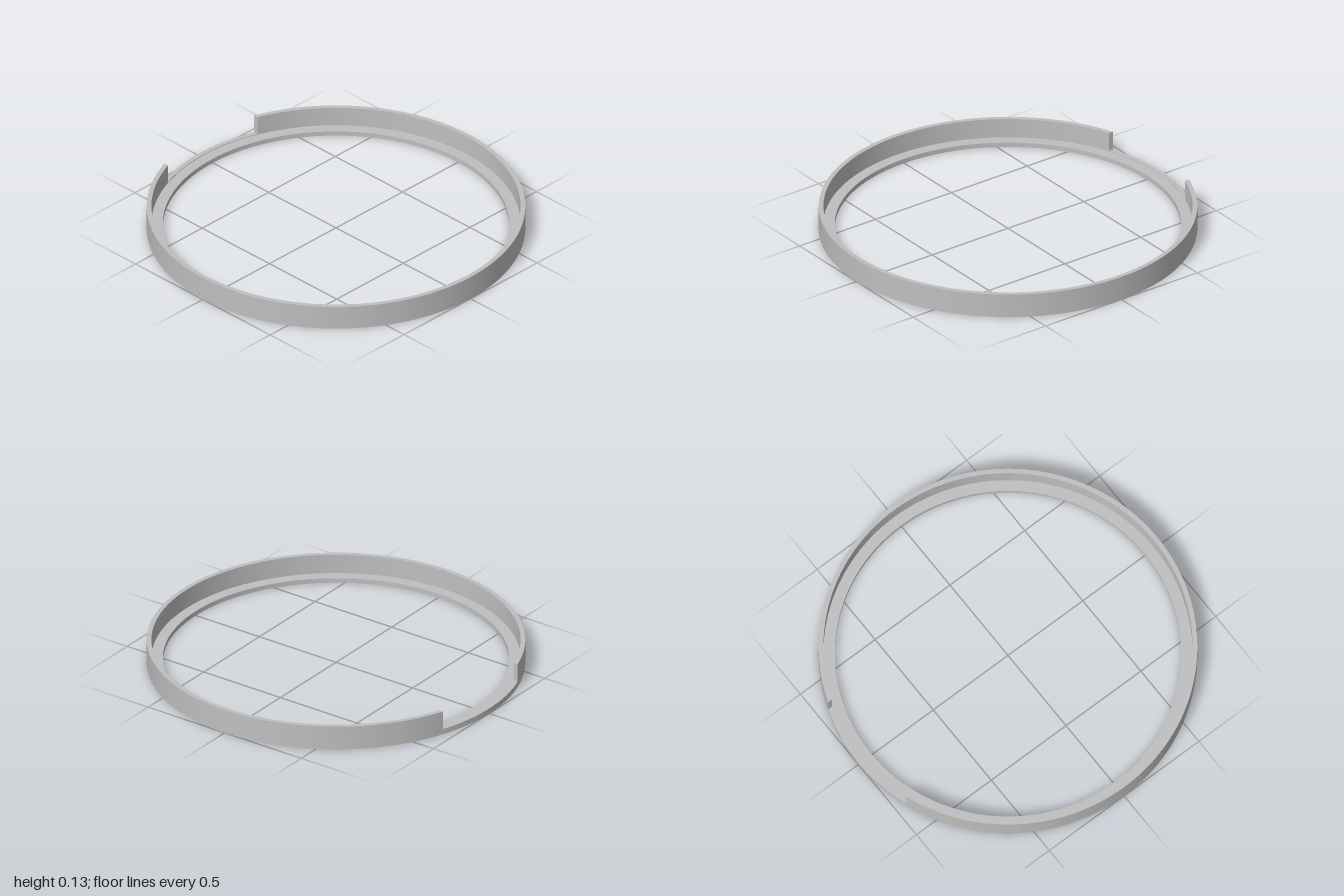
import * as THREE from 'three';
import { toCreasedNormals } from 'three/addons/utils/BufferGeometryUtils.js';

const INNER = 0.915, WALL_INNER = 0.975, OUTER = 1;
const LEDGE_Y = 0.026, GAP_Y = 0.03, TOP_Y = 0.135;
const GAP_HALF = 0.335; // half width of the opening on the -x side

// Extrude a plan shape upwards between two heights, smooth around the curve
function slab(name, shape, y0, y1, material) {
  const geo = new THREE.ExtrudeGeometry(shape, { depth: y1 - y0, bevelEnabled: false, curveSegments: 144 });
  geo.rotateX(-Math.PI / 2);
  geo.translate(0, y0, 0);
  const mesh = new THREE.Mesh(toCreasedNormals(geo, Math.PI / 6), material);
  mesh.name = name;
  return mesh;
}

function ring(inner, outer) {
  const shape = new THREE.Shape().absarc(0, 0, outer, 0, Math.PI * 2, false);
  shape.holes.push(new THREE.Path().absarc(0, 0, inner, 0, Math.PI * 2, true));
  return shape;
}

// Ring open on the -x side, with both ends cut parallel to x
function openRing(inner, outer, halfGap) {
  const a = Math.PI - Math.asin(halfGap / outer);
  const b = Math.PI - Math.asin(halfGap / inner);
  const shape = new THREE.Shape();
  shape.absarc(0, 0, outer, -a, a, false);
  shape.absarc(0, 0, inner, b, -b, true);
  shape.closePath();
  return shape;
}

export function createModel() {
  const grey = new THREE.MeshStandardMaterial({ color: 0xbfbfbf });
  grey.name = 'grey';

  const model = new THREE.Group();
  model.name = 'openRimRing';
  model.add(
    slab('innerLedge', ring(INNER, WALL_INNER), 0, LEDGE_Y, grey),
    slab('outerBase', ring(WALL_INNER, OUTER), 0, GAP_Y, grey),
    slab('rimWall', openRing(WALL_INNER, OUTER, GAP_HALF), GAP_Y, TOP_Y, grey)
  );
  return model;
}
